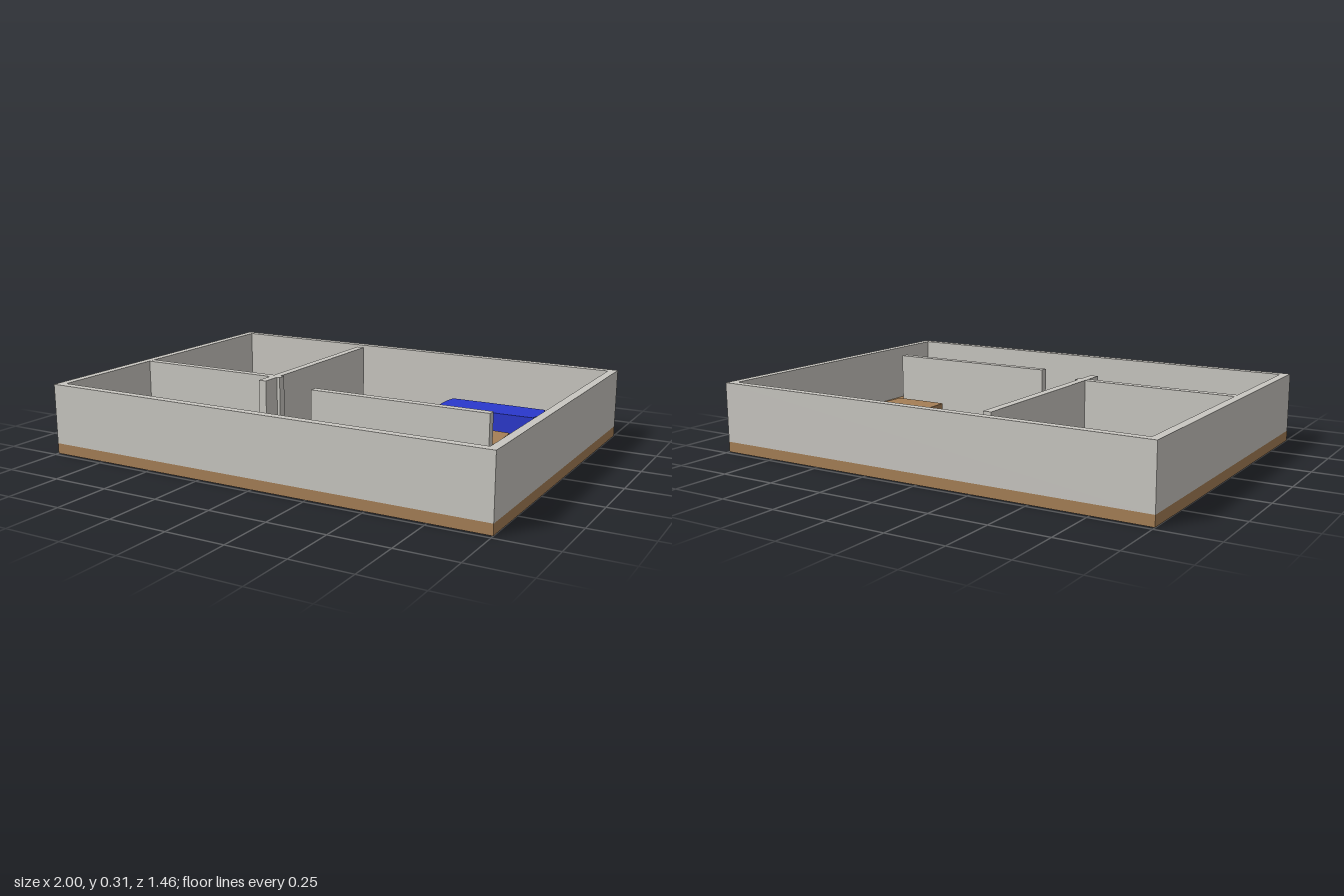
import * as THREE from 'three';

const FLOOR = 0.045, TOP = 0.305, W = 2, D = 1.46, T = 0.036;

export function createModel() {
  const model = new THREE.Group();
  model.name = 'floorPlan';

  const material = (name, color) => {
    const m = new THREE.MeshStandardMaterial({ color });
    m.name = name;
    return m;
  };
  const plaster = material('plaster', 0xc9c7c1);
  const wood = material('wood', 0xa57f56);
  const blue = material('blueFabric', 0x2a38cc);
  const green = material('greenFabric', 0xacca3a);

  const add = (name, geometry, mat) => {
    const mesh = new THREE.Mesh(geometry, mat);
    mesh.name = name;
    model.add(mesh);
    return mesh;
  };

  // Box given by its extents
  const block = (name, mat, x0, x1, y0, y1, z0, z1) =>
    add(name, new THREE.BoxGeometry(x1 - x0, y1 - y0, z1 - z0), mat)
      .position.set((x0 + x1) / 2, (y0 + y1) / 2, (z0 + z1) / 2);

  // Extrude a plan outline upwards from the floor
  const raise = (shape, height) => {
    const g = new THREE.ExtrudeGeometry(shape, { depth: height, bevelEnabled: false, curveSegments: 6 });
    return g.rotateX(-Math.PI / 2).translate(0, FLOOR, 0);
  };

  // Furniture block with slightly bowed sides
  const furniture = (name, mat, x0, x1, z0, z1, top, bx, bz) => {
    const w = (x1 - x0) / 2, d = (z1 - z0) / 2, a = w - bx, b = d - bz;
    const s = new THREE.Shape();
    s.moveTo(-a, -b);
    s.quadraticCurveTo(0, -d - bz, a, -b);
    s.quadraticCurveTo(w + bx, 0, a, b);
    s.quadraticCurveTo(0, d + bz, -a, b);
    s.quadraticCurveTo(-w - bx, 0, -a, -b);
    add(name, raise(s, top - FLOOR), mat).position.set((x0 + x1) / 2, 0, (z0 + z1) / 2);
  };

  // Floor slab
  block('floor', wood, -W / 2, W / 2, 0, FLOOR, -D / 2, D / 2);

  // Outer walls as one frame
  const rect = (path, w, d) => {
    path.moveTo(-w, -d); path.lineTo(w, -d); path.lineTo(w, d); path.lineTo(-w, d); path.closePath();
    return path;
  };
  const frame = rect(new THREE.Shape(), W / 2, D / 2);
  frame.holes.push(rect(new THREE.Path(), W / 2 - T, D / 2 - T));
  add('outerWalls', raise(frame, TOP - FLOOR), plaster);

  // Partitions
  block('bedroomSideWall', plaster, -0.29, -0.254, FLOOR, TOP, -0.645, 0.235);
  block('bedroomFrontWall', plaster, -W / 2 + T, -0.24, FLOOR, TOP - 0.0005, 0.112, 0.148);
  block('hallWall', plaster, 0, 0.795, FLOOR, TOP, 0.244, 0.28);

  // Furniture
  furniture('bed', plaster, -0.897, -0.443, -0.5, -0.173, 0.135, 0.009, 0.004);
  furniture('sofa', blue, 0.3, 0.762, -0.485, -0.32, 0.145, 0.008, 0.003);
  furniture('table', wood, 0.467, 0.729, -0.132, 0.126, 0.12, 0.005, 0.004);
  furniture('counter', green, -0.797, -0.276, 0.466, 0.595, 0.17, 0.008, 0.002);

  return model;
}
